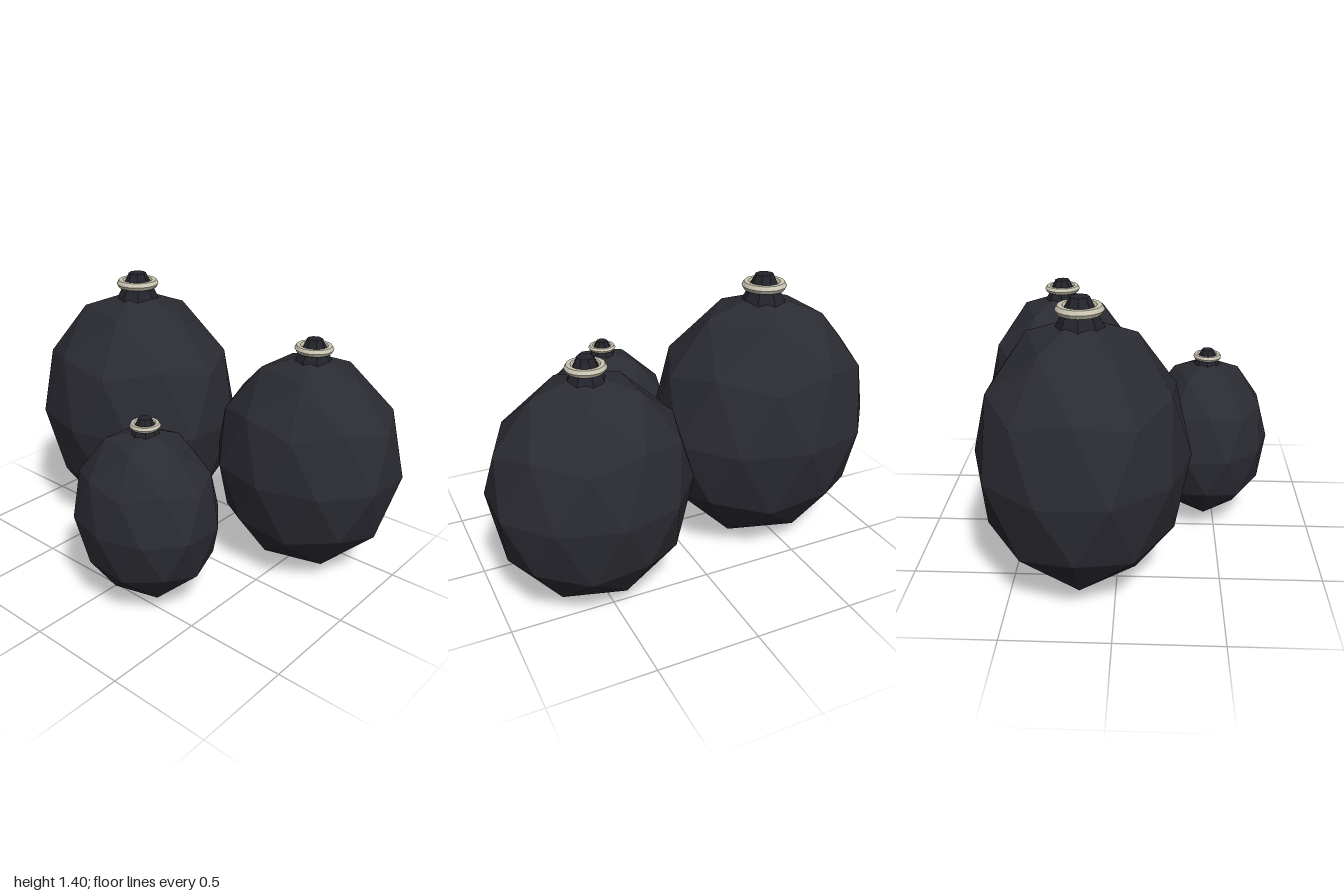
import * as THREE from 'three';

const sackMaterial = new THREE.MeshStandardMaterial({ color: 0x2b2b33, flatShading: true });
sackMaterial.name = 'charcoal sack';
const neckMaterial = new THREE.MeshStandardMaterial({ color: 0x23232b, flatShading: true });
neckMaterial.name = 'dark neck';
const tieMaterial = new THREE.MeshStandardMaterial({ color: 0xcbc5b2, flatShading: true });
tieMaterial.name = 'pale cord';

// Faceted ball turned so that a corner points straight up and a ring corner points to +x
function facetedBall(rx, ry, rz) {
  const geometry = new THREE.IcosahedronGeometry(1, 1);
  geometry.rotateX(-Math.atan((1 + Math.sqrt(5)) / 2));
  geometry.rotateY(Math.PI / 2);
  geometry.scale(rx, ry, rz);
  return geometry;
}

function addPart(group, name, geometry, material, y) {
  const mesh = new THREE.Mesh(geometry, material);
  mesh.name = name;
  mesh.position.y = y;
  group.add(mesh);
}

// One tied sack: body, gathered neck and cord ring
function createSack({ name, x, y, z, radii, tieY }) {
  const sack = new THREE.Group();
  sack.name = name;
  sack.position.set(x, 0, z);
  const s = radii[0] / 0.567;

  addPart(sack, 'body', facetedBall(...radii), sackMaterial, y);

  const neckHeight = 0.14 * s;
  const neck = new THREE.CylinderGeometry(0.045 * s, 0.112 * s, neckHeight, 8);
  addPart(sack, 'neck', neck, neckMaterial, tieY + 0.055 * s - neckHeight / 2);

  const tie = new THREE.TorusGeometry(0.088 * s, 0.022 * s, 6, 20);
  tie.rotateX(Math.PI / 2);
  addPart(sack, 'tie', tie, tieMaterial, tieY);
  return sack;
}

export function createModel() {
  const model = new THREE.Group();
  model.name = 'sackPile';
  const sacks = [
    { name: 'largeSack', x: -0.46, y: 0.66, z: -0.16, radii: [0.567, 0.656, 0.505], tieY: 1.35 },
    { name: 'mediumSack', x: 0.535, y: 0.58, z: -0.345, radii: [0.489, 0.564, 0.431], tieY: 1.167 },
    { name: 'smallSack', x: 0.163, y: 0.47, z: 0.44, radii: [0.372, 0.434, 0.33], tieY: 0.917 },
  ];
  for (const sack of sacks) model.add(createSack(sack));
  return model;
}
